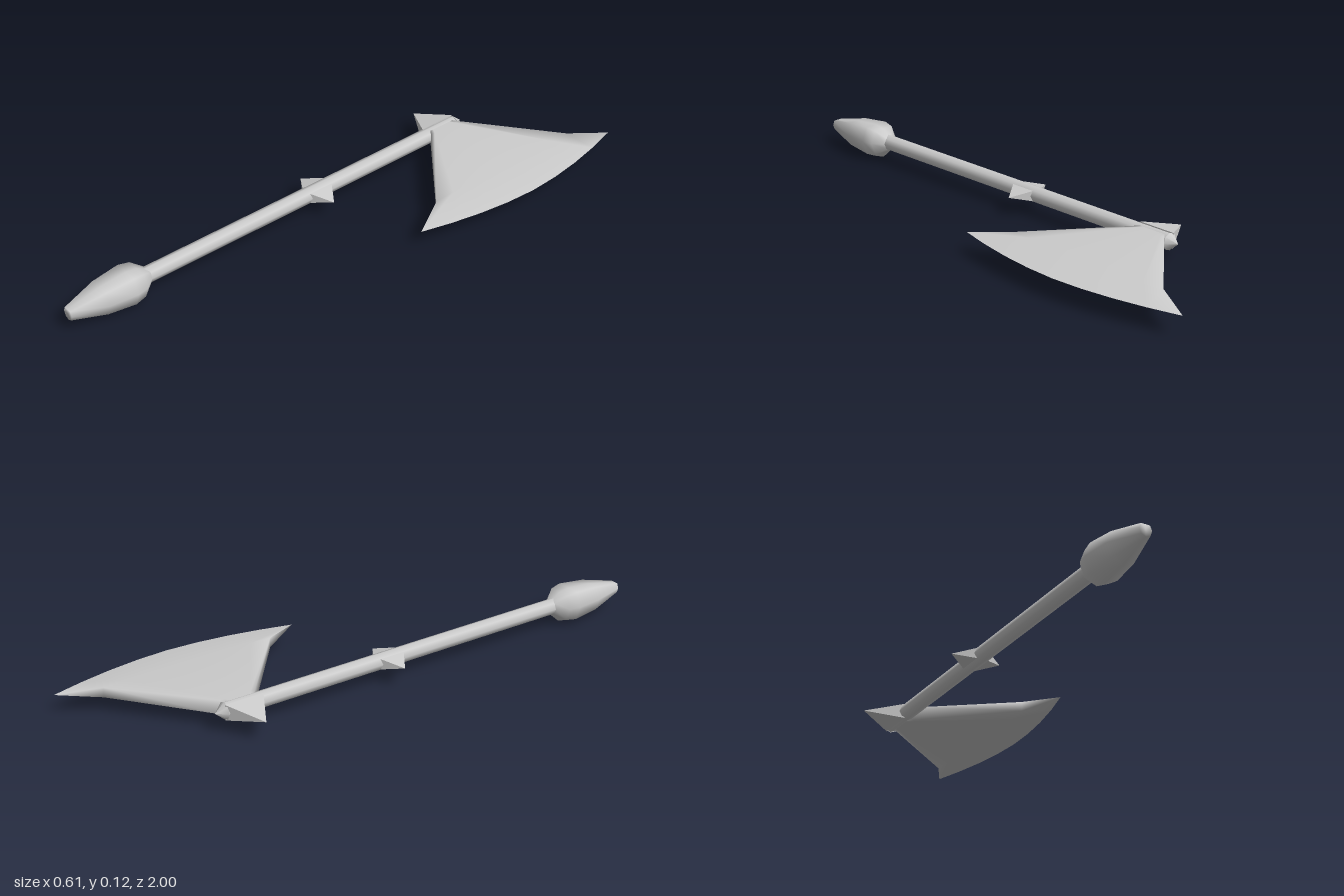
import * as THREE from 'three';

const AX = -0.168, AY = 0.077, HEAD_Z = -0.555; // shaft axis and head centre
const material = new THREE.MeshStandardMaterial({ color: 0xcccccc, side: THREE.DoubleSide });

// Skin a list of closed rings of [x, y, z] points
function loft(rings) {
  const n = rings[0].length, index = [];
  for (let r = 0; r < rings.length - 1; r++) {
    for (let i = 0; i < n; i++) {
      const a = r * n + i, b = r * n + (i + 1) % n;
      index.push(a, b, b + n, a, b + n, a + n);
    }
  }
  const g = new THREE.BufferGeometry();
  g.setAttribute('position', new THREE.Float32BufferAttribute(rings.flat(2), 3));
  g.setIndex(index);
  g.computeVertexNormals();
  return g;
}

export function createModel() {
  const group = new THREE.Group();
  const add = (name, geometry) => {
    const mesh = new THREE.Mesh(geometry, material);
    mesh.name = name;
    group.add(mesh);
    return mesh;
  };

  // Four-sided spike pointing to side (-1 or 1) along x
  const spike = (name, side, length, halfY, halfZ, x, z) => {
    const g = new THREE.ConeGeometry(Math.SQRT2, length, 4, 1).toNonIndexed();
    g.rotateY(Math.PI / 4).translate(0, length / 2, 0).rotateZ(-side * Math.PI / 2);
    g.scale(1, halfY, halfZ).translate(x, AY, z);
    g.computeVertexNormals();
    add(name, g);
  };

  // Shaft with a small pointed cap
  const shaft = new THREE.CylinderGeometry(0.028, 0.028, 1.35, 8);
  shaft.rotateX(Math.PI / 2).translate(AX, AY, 0.055);
  add('shaft', shaft);
  const tip = new THREE.ConeGeometry(0.03, 0.035, 8);
  tip.rotateX(-Math.PI / 2).translate(AX, AY, -0.6375);
  add('shaftTip', tip);

  // Pommel: eight-sided swelling, flattened along its top
  const profile = [[0.7, 0.026], [0.74, 0.058], [0.78, 0.066], [0.88, 0.055], [1, 0.022], [1, 0]];
  add('pommel', loft(profile.map(([z, r]) => Array.from({ length: 8 }, (_, i) => {
    const a = i * Math.PI / 4;
    return [AX + r * Math.cos(a), AY + 1.1 * r * Math.min(Math.sin(a), 0.7), z];
  }))));

  // Pair of spikes at the middle of the shaft
  for (const side of [-1, 1]) {
    spike(side > 0 ? 'leftGuardSpike' : 'rightGuardSpike', side, 0.075, 0.02, 0.05,
      AX + side * 0.015, 0.005);
  }

  // Spike behind the blade
  spike('backSpike', -1, 0.125, 0.027, 0.07, -0.18, HEAD_Z);

  // Blade: flares from the socket, then thins to a curved cutting edge
  const columns = [-1, -0.75, -0.5, -0.25, 0, 0.25, 0.5, 0.75, 1];
  const stations = [
    { x: () => AX, w: 0.045, h: () => 0.024 },
    { x: () => -0.14, w: 0.065, h: () => 0.024 },
    { x: () => 0.155, w: 0.31, h: t => 0.023 - 0.006 * t * t },
    { x: t => 0.303 - 0.073 * Math.abs(t) ** 1.8, w: 0.445, h: () => 0 },
  ];
  add('blade', loft(stations.map(({ x, w, h }) => {
    const row = s => columns.map(t => [x(t), AY + s * h(t), HEAD_Z + t * w]);
    return [...row(1), ...row(-1).reverse()];
  })));

  return group;
}
